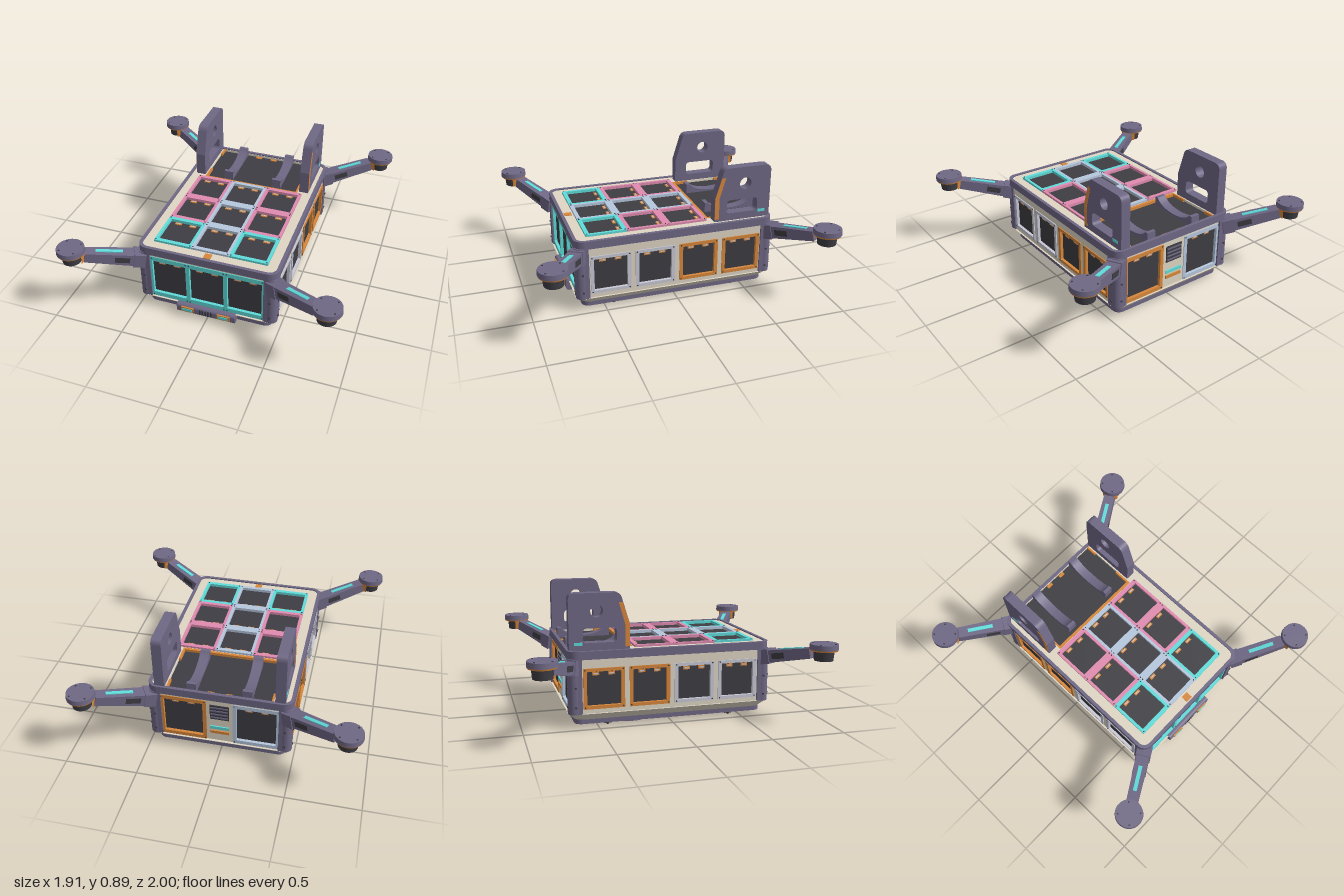
import * as THREE from 'three';

const mat = (name, color) => {
  const m = new THREE.MeshStandardMaterial({ color });
  m.name = name;
  return m;
};

export function createModel() {
  const purple = mat('purple shell', 0x6f6885);
  const beige = mat('beige hull', 0xdfd6c4);
  const dark = mat('dark panel', 0x3e3d43);
  const cyan = mat('cyan', 0x5fdcda);
  const pink = mat('pink', 0xe08cb0);
  const blue = mat('blue grey', 0xb6c7dd);
  const grey = mat('light grey', 0xc8c9d6);
  const orange = mat('orange', 0xd8873b);

  const model = new THREE.Group();
  model.name = 'cargoDrone';

  const add = (parent, name, geo, material, x = 0, y = 0, z = 0) => {
    const m = new THREE.Mesh(geo, material);
    m.name = name;
    m.position.set(x, y, z);
    parent.add(m);
    return m;
  };
  const box = (parent, name, w, h, d, material, x, y, z) =>
    add(parent, name, new THREE.BoxGeometry(w, h, d), material, x, y, z);
  const cyl = (parent, name, rTop, rBottom, h, material, x, y, z, seg = 32) =>
    add(parent, name, new THREE.CylinderGeometry(rTop, rBottom, h, seg), material, x, y, z);

  const roundRect = (w, h, r, cx = 0, cy = 0, T = THREE.Shape) => {
    const s = new T(), a = w / 2, b = h / 2;
    s.moveTo(cx - a + r, cy - b);
    s.lineTo(cx + a - r, cy - b).absarc(cx + a - r, cy - b + r, r, -Math.PI / 2, 0);
    s.lineTo(cx + a, cy + b - r).absarc(cx + a - r, cy + b - r, r, 0, Math.PI / 2);
    s.lineTo(cx - a + r, cy + b).absarc(cx - a + r, cy + b - r, r, Math.PI / 2, Math.PI);
    s.lineTo(cx - a, cy - b + r).absarc(cx - a + r, cy - b + r, r, Math.PI, Math.PI * 1.5);
    return s;
  };
  const circle = (r, cx, cy, T = THREE.Path) => new T().absarc(cx, cy, r, 0, Math.PI * 2);
  const extrude = (shape, depth) =>
    new THREE.ExtrudeGeometry(shape, { depth, bevelEnabled: false, curveSegments: 16 });
  // Plan outline (x, -z) raised from y0 to y1
  const slab = (name, shape, y0, y1, material) =>
    add(model, name, extrude(shape, y1 - y0).rotateX(-Math.PI / 2), material, 0, y0, 0);
  // Side outline (z, y) given a thickness around x
  const sideCut = (name, shape, x, w, material) =>
    add(model, name, extrude(shape, w).rotateY(-Math.PI / 2), material, x + w / 2, 0, 0);
  const poly = (pts) => new THREE.Shape(pts.map(([x, y]) => new THREE.Vector2(x, y)));

  // Hull core and tapered underside
  box(model, 'hullCore', 0.9, 0.383, 1.31, beige, 0, 0.2885, 0);
  const taper = extrude(roundRect(0.98, 1.4, 0.06), 0.05).rotateX(-Math.PI / 2);
  const p = taper.attributes.position;
  for (let i = 0; i < p.count; i++) {
    if (p.getY(i) < 0.01) p.setXYZ(i, p.getX(i) * 0.905, 0, p.getZ(i) * 0.935);
  }
  taper.computeVertexNormals();
  add(model, 'lowerTaper', taper, beige, 0, 0.052, 0);

  // Belly layers, pierced by three fan wells
  const fans = [[0.255, -0.255], [-0.255, -0.255], [0, 0.36]];
  const pierced = (shape) => {
    for (const [x, z] of fans) shape.holes.push(circle(0.135, x, -z));
    return shape;
  };
  slab('baseBand', pierced(roundRect(0.89, 1.31, 0.05)), 0.023, 0.055, purple);
  slab('bellyPlate', pierced(roundRect(0.86, 1.28, 0.05)), 0.018, 0.024, beige);
  for (const [x, z] of fans) {
    const ring = circle(0.16, x, -z, THREE.Shape);
    ring.holes.push(circle(0.122, x, -z));
    slab('fanRing', ring, 0.008, 0.052, purple);
    cyl(model, 'fanWell', 0.13, 0.13, 0.006, dark, x, 0.049, z, 40);
    cyl(model, 'fanHub', 0.03, 0.03, 0.02, dark, x, 0.04, z, 20);
    for (let k = 0; k < 3; k++) {
      box(model, 'fanBar', 0.25, 0.006, 0.01, dark, x, 0.028, z).rotation.y = k * Math.PI / 3;
    }
  }

  // Top rim and deck with openings for the cargo bay and the panel grid
  const rim = roundRect(0.98, 1.4, 0.07);
  rim.holes.push(roundRect(0.935, 1.355, 0.05, 0, 0, THREE.Path));
  slab('topRim', rim, 0.465, 0.52, purple);
  const deck = roundRect(0.94, 1.36, 0.05);
  deck.holes.push(
    roundRect(0.72, 0.43, 0.01, 0, 0.46, THREE.Path),
    roundRect(0.79, 0.835, 0.01, 0, -0.185, THREE.Path));
  slab('topDeck', deck, 0.47, 0.512, beige);

  // Wall skins with window openings [centre, width, height]
  const skin = (name, w, openings, x, z, turn) => {
    const s = roundRect(w, 0.375, 0.002);
    for (const [c, ow, oh] of openings) s.holes.push(roundRect(ow - 0.012, oh - 0.012, 0.002, c, -0.013, THREE.Path));
    add(model, name, extrude(s, 0.03), beige, x, 0.285, z).rotation.y = turn;
  };
  const bays = [0.463, 0.155, -0.155, -0.465];
  skin('frontWall', 0.88, [[0, 0.8, 0.34]], 0, 0.652, 0);
  skin('rearWall', 0.88, [[-0.25, 0.32, 0.34], [0.25, 0.32, 0.34]], 0, -0.652, Math.PI);
  skin('rightWall', 1.3, bays.map((z) => [-z, 0.277, 0.273]), 0.447, 0, Math.PI / 2);
  skin('leftWall', 1.3, bays.map((z) => [z, 0.277, 0.273]), -0.447, 0, -Math.PI / 2);

  // Corner posts with rivets
  for (const sx of [-1, 1]) for (const sz of [-1, 1]) {
    slab('cornerPost', roundRect(0.09, 0.09, 0.044, sx * 0.445, -sz * 0.655), 0.1, 0.47, purple);
    box(model, 'postInnerX', 0.045, 0.37, 0.08, purple, sx * 0.423, 0.285, sz * 0.658);
    box(model, 'postInnerZ', 0.08, 0.37, 0.045, purple, sx * 0.448, 0.285, sz * 0.633);
    for (const y of [0.15, 0.28]) {
      cyl(model, 'rivet', 0.007, 0.007, 0.012, dark, sx * 0.49, y, sz * 0.655, 8).rotation.z = Math.PI / 2;
      cyl(model, 'rivet', 0.007, 0.007, 0.012, dark, sx * 0.445, y, sz * 0.7, 8).rotation.x = Math.PI / 2;
    }
  }

  // Framed panel facing +z: sunken insert with two latches near its upper edge
  const panel = (name, w, h, bx, by, frameMat) => {
    const g = new THREE.Group();
    g.name = name;
    const s = roundRect(w, h, 0.004);
    s.holes.push(roundRect(w - 2 * bx, h - 2 * by, 0.004, 0, 0, THREE.Path));
    add(g, 'frame', extrude(s, 0.03), frameMat);
    box(g, 'insert', w - 2 * bx + 0.002, h - 2 * by + 0.002, 0.008, dark, 0, 0, 0.005);
    for (const sx of [-1, 1]) {
      box(g, 'latch', 0.046, 0.022, 0.006, orange, sx * 0.053, h / 2 - by - 0.017, 0.011);
      box(g, 'latchKey', 0.03, 0.008, 0.004, grey, sx * 0.053, h / 2 - by - 0.017, 0.0135);
      for (const sy of [-1, 1]) {
        cyl(g, 'screw', 0.005, 0.005, 0.004, dark, sx * (w / 2 - 0.011), sy * (h / 2 - 0.011), 0.03, 8)
          .rotation.x = Math.PI / 2;
      }
    }
    model.add(g);
    return g;
  };

  for (const i of [-1, 0, 1]) {
    panel('frontPanel', 0.267, 0.34, 0.014, 0.033, cyan).position.set(i * 0.267, 0.272, 0.657);
    // Deck grid
    [-0.097, 0.185, 0.467].forEach((z, row) => {
      const t = panel('deckPanel', 0.267, 0.282, 0.02, 0.028, i === 0 ? blue : row === 2 ? cyan : pink);
      t.position.set(i * 0.267, 0.497, z);
      t.rotation.x = -Math.PI / 2;
    });
  }
  for (const sx of [-1, 1]) {
    bays.forEach((z, k) => {
      const s = panel('sidePanel', 0.277, 0.273, 0.024, 0.022, k < 2 ? grey : orange);
      s.position.set(sx * 0.454, 0.268, z);
      s.rotation.y = sx * Math.PI / 2;
    });
    const b = panel('rearPanel', 0.32, 0.34, 0.026, 0.028, sx > 0 ? orange : blue);
    b.position.set(sx * 0.25, 0.272, -0.657);
    b.rotation.y = Math.PI;
  }
  // Rear grille, light bars and deck marker
  box(model, 'rearGrille', 0.13, 0.12, 0.01, dark, 0, 0.355, -0.683);
  for (let k = 0; k < 4; k++) box(model, 'grilleSlat', 0.12, 0.01, 0.012, purple, 0, 0.313 + k * 0.028, -0.687);
  box(model, 'rearLightBar', 0.13, 0.022, 0.012, cyan, 0, 0.22, -0.685);
  box(model, 'rearMarkerBar', 0.13, 0.022, 0.012, orange, 0, 0.18, -0.685);
  box(model, 'deckMarker', 0.05, 0.006, 0.05, orange, 0, 0.513, 0.645);

  // Cargo bay
  box(model, 'bayFloor', 0.72, 0.01, 0.43, dark, 0, 0.49, -0.46);
  box(model, 'bayFrontEdge', 0.72, 0.03, 0.02, orange, 0, 0.5, -0.255);
  for (const sx of [-1, 1]) {
    box(model, 'bayCorner', 0.014, 0.03, 0.12, orange, sx * 0.353, 0.5, -0.315);
    box(model, 'bayCorner', 0.014, 0.03, 0.08, orange, sx * 0.353, 0.5, -0.635);
    box(model, 'bayLatch', 0.046, 0.006, 0.022, orange, sx * 0.06, 0.497, -0.66);
    const saddle = poly([[-0.675, 0.49], [-0.295, 0.49], [-0.295, 0.565], [-0.32, 0.565]]);
    saddle.quadraticCurveTo(-0.36, 0.51, -0.485, 0.508);
    saddle.quadraticCurveTo(-0.61, 0.51, -0.65, 0.565);
    saddle.lineTo(-0.675, 0.565);
    sideCut('cargoSaddle', saddle, sx * 0.187, 0.066, purple);

    // Upright fin with a round eye and a grip slot
    const fin = poly([[-0.685, 0.5], [-0.28, 0.5], [-0.28, 0.68], [-0.33, 0.845]]);
    fin.quadraticCurveTo(-0.342, 0.89, -0.38, 0.89);
    fin.lineTo(-0.64, 0.89);
    fin.quadraticCurveTo(-0.685, 0.89, -0.685, 0.845);
    fin.holes.push(circle(0.042, -0.5, 0.772), roundRect(0.225, 0.096, 0.025, -0.48, 0.612, THREE.Path));
    sideCut('fin', fin, sx * 0.404, 0.068, purple);
    const edge = poly([[-0.281, 0.53], [-0.281, 0.68], [-0.326, 0.825], [-0.354, 0.825], [-0.312, 0.68], [-0.312, 0.53]]);
    sideCut('finStripe', edge, sx * 0.4375, 0.004, orange);
    box(model, 'finLight', 0.004, 0.02, 0.055, cyan, sx * 0.4385, 0.56, -0.625);
  }

  // Front bumper with lights
  sideCut('frontBumper', roundRect(0.06, 0.07, 0.022, 0.692, 0.068), 0, 0.42, purple);
  for (const sx of [-1, 1]) {
    box(model, 'lampSurround', 0.09, 0.036, 0.012, orange, sx * 0.13, 0.073, 0.724);
    box(model, 'lamp', 0.07, 0.02, 0.012, cyan, sx * 0.13, 0.073, 0.728);
  }
  for (let k = -2; k <= 2; k++) box(model, 'bumperSlot', 0.01, 0.04, 0.006, dark, k * 0.02, 0.07, 0.722);

  // Arms and rotor pods
  const armGeo = new THREE.BoxGeometry(0.095, 0.09, 0.4);
  const ap = armGeo.attributes.position;
  for (let i = 0; i < ap.count; i++) {
    if (ap.getZ(i) > 0) ap.setXYZ(i, ap.getX(i) * 0.85, ap.getY(i) * 0.75, ap.getZ(i));
  }
  armGeo.computeVertexNormals();
  for (const sx of [-1, 1]) for (const sz of [-1, 1]) {
    const arm = new THREE.Group();
    arm.name = 'arm';
    arm.position.set(sx * 0.45, 0.408, sz * 0.67);
    arm.lookAt(sx * 0.82, 0.5, sz * 0.883);
    add(arm, 'armBeam', armGeo, purple, 0, 0, 0.2);
    box(arm, 'armRoot', 0.104, 0.1, 0.08, purple, 0, 0, 0.035);
    box(arm, 'armLight', 0.026, 0.008, 0.18, cyan, 0, 0.04, 0.24).rotation.x = 0.026;
    for (const s of [-1, 1]) box(arm, 'armVent', 0.008, 0.04, 0.1, dark, s * 0.043, 0, 0.15);
    model.add(arm);

    const pod = new THREE.Group();
    pod.name = 'rotorPod';
    pod.position.set(sx * 0.86, 0, sz * 0.905);
    cyl(pod, 'podCap', 0.092, 0.095, 0.034, purple, 0, 0.548, 0);
    cyl(pod, 'podRing', 0.093, 0.09, 0.01, orange, 0, 0.526, 0);
    cyl(pod, 'podMotor', 0.068, 0.062, 0.066, dark, 0, 0.489, 0);
    // Collar wrapped around the side that meets the arm
    const facing = Math.atan2(-sx * 0.37, -sz * 0.213);
    add(pod, 'podCollar', new THREE.CylinderGeometry(0.088, 0.084, 0.06, 16, 1, false, facing - 0.75, 1.5), orange, 0, 0.492, 0);
    for (let k = 0; k < 4; k++) {
      const a = Math.PI / 4 + k * Math.PI / 2;
      cyl(pod, 'podScrew', 0.006, 0.006, 0.004, dark, Math.cos(a) * 0.075, 0.566, Math.sin(a) * 0.075, 8);
    }
    model.add(pod);

    // Belly feet
    box(model, 'foot', 0.07, 0.016, 0.05, dark, sx * 0.37, 0.013, sz * 0.43);
    for (const x of [0.32, 0.405]) cyl(model, 'footPin', 0.008, 0.008, 0.02, dark, sx * x, 0.01, sz * 0.43, 10);
  }
  return model;
}
